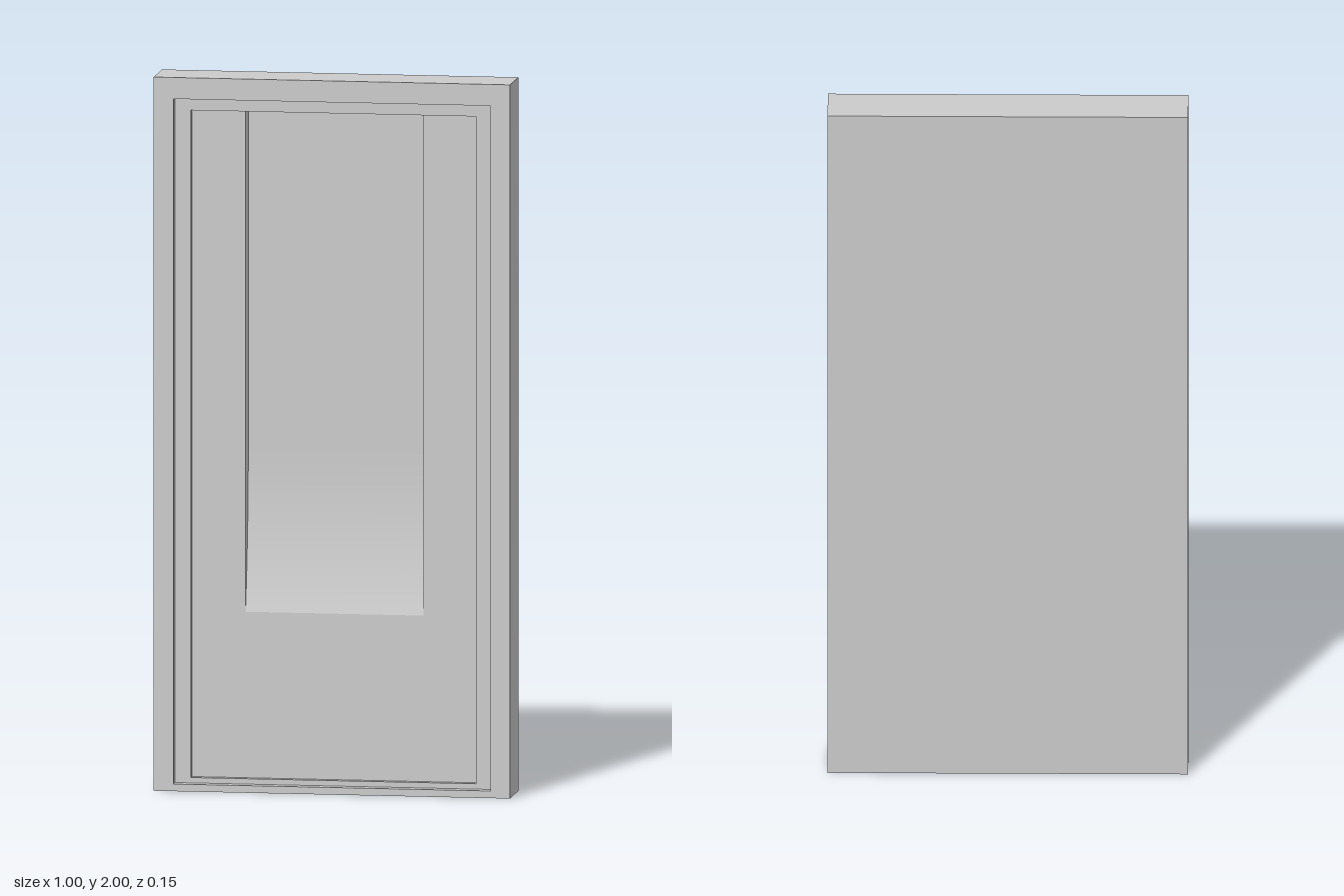
import * as THREE from 'three';
import { toCreasedNormals } from 'three/addons/utils/BufferGeometryUtils.js';

const W = 0.5, H = 2;                       // half width, height
const Z = { back: -0.075, plate: -0.03, floor: -0.025, panel: 0.025, step: 0.045, front: 0.075 };

const material = new THREE.MeshStandardMaterial({ color: 0xcccccc });

function addMesh(group, name, geometry) {
  const mesh = new THREE.Mesh(geometry, material);
  mesh.name = name;
  group.add(mesh);
}

// Full-size slab layer between two depths with a rectangular opening
function layer(z0, z1, halfWidth, bottom, top) {
  const shape = new THREE.Shape([[-W, 0], [W, 0], [W, H], [-W, H]].map(p => new THREE.Vector2(...p)));
  shape.holes.push(new THREE.Path([
    [-halfWidth, bottom], [-halfWidth, top], [halfWidth, top], [halfWidth, bottom],
  ].map(p => new THREE.Vector2(...p))));
  const g = new THREE.ExtrudeGeometry(shape, { depth: z1 - z0, bevelEnabled: false });
  return g.translate(0, 0, z0);
}

// Niche floor: side profile that sweeps smoothly up to the panel at its foot
function nicheFloor(halfWidth, bottom, top, sweep) {
  const shape = new THREE.Shape();
  shape.moveTo(Z.plate, bottom);
  shape.lineTo(Z.panel, bottom);
  const steps = 20;
  for (let i = 1; i <= steps; i++) {
    const t = i / steps;
    shape.lineTo(Z.floor + (Z.panel - Z.floor) * (1 - t) ** 2, bottom + sweep * t);
  }
  shape.lineTo(Z.floor, top);
  shape.lineTo(Z.plate, top);
  shape.closePath();
  const g = new THREE.ExtrudeGeometry(shape, { depth: halfWidth * 2, bevelEnabled: false });
  g.rotateY(-Math.PI / 2).translate(halfWidth, 0, 0);
  return toCreasedNormals(g, 0.15);
}

export function createModel() {
  const group = new THREE.Group();
  group.name = 'recessedPanel';

  // Solid back
  const depth = Z.plate - Z.back;
  addMesh(group, 'backPlate', new THREE.BoxGeometry(W * 2, H, depth).translate(0, H / 2, Z.back + depth / 2));

  // Main panel with the tall niche and its curved foot
  addMesh(group, 'mainPanel', layer(Z.plate, Z.panel, 0.25, 0.5, 1.905));
  addMesh(group, 'nicheFloor', nicheFloor(0.25, 0.5, 1.905, 0.45));

  // Two stepped frames around the front
  addMesh(group, 'innerFrame', layer(Z.panel, Z.step, 0.4, 0.035, 1.905));
  addMesh(group, 'outerFrame', layer(Z.step, Z.front, 0.445, 0.02, 1.94));

  return group;
}
